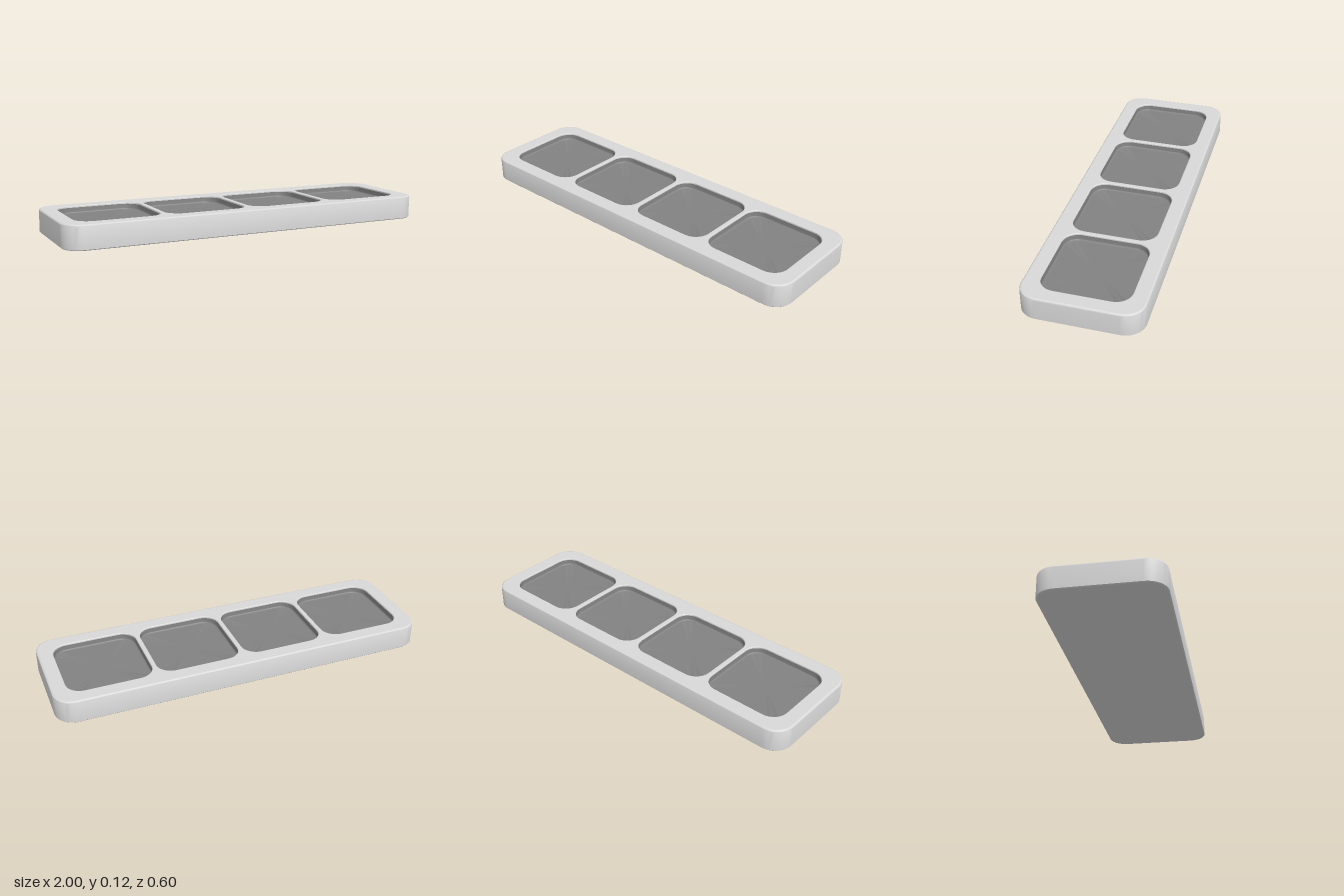
import * as THREE from 'three';
import { toCreasedNormals } from 'three/addons/utils/BufferGeometryUtils.js';

const SEG = 10; // steps per rounded corner

// Rounded rectangle outline, counter-clockwise seen from above
function outline(hw, hd, r, cx = 0) {
  const pts = [];
  for (let k = 0; k < 4; k++) {
    const sx = k === 0 || k === 3 ? 1 : -1;
    const sy = k < 2 ? 1 : -1;
    for (let i = 0; i <= SEG; i++) {
      const a = (k + i / SEG) * Math.PI / 2;
      pts.push(new THREE.Vector2(cx + sx * (hw - r) + r * Math.cos(a), sy * (hd - r) + r * Math.sin(a)));
    }
  }
  return pts;
}

// Skin a list of rounded-rectangle rings [halfWidth, halfDepth, cornerRadius, y]
function loft(rings) {
  const n = 4 * (SEG + 1), pos = [], index = [];
  for (const [hw, hd, r, y] of rings) {
    for (const p of outline(hw, hd, r)) pos.push(p.x, y, -p.y);
  }
  for (let i = 0; i < rings.length - 1; i++) {
    for (let j = 0; j < n; j++) {
      const a = i * n + j, b = i * n + (j + 1) % n;
      index.push(a, b, b + n, a, b + n, a + n);
    }
  }
  const g = new THREE.BufferGeometry();
  g.setAttribute('position', new THREE.Float32BufferAttribute(pos, 3));
  g.setIndex(index);
  return toCreasedNormals(g, 0.7);
}

export function createModel() {
  const group = new THREE.Group();
  const shell = new THREE.MeshStandardMaterial({ color: 0xd8d8d8 });
  shell.name = 'light grey';
  const lining = new THREE.MeshStandardMaterial({ color: 0x828282 });
  lining.name = 'dark grey';

  const add = (name, geometry, material, x = 0) => {
    const mesh = new THREE.Mesh(geometry, material);
    mesh.name = name;
    mesh.position.x = x;
    group.add(mesh);
  };

  const H = 0.123, W = 1, D = 0.301, R = 0.1; // tray height, half sizes, corner radius
  const well = 0.225, wellR = 0.085, pitch = 0.467;
  const centres = [-1.5, -0.5, 0.5, 1.5].map((k) => k * pitch);
  const inset = (hw, hd, r, d, y) => [hw - d, hd - d, r - d, y];

  // Outer body: base, sides and softened top edge
  const body = [[0, 0, 0, 0], inset(W, D, R, 0.006, 0), inset(W, D, R, 0.004, 0), inset(W, D, R, 0, 0.004)];
  const B = 0.01;
  for (let i = 0; i <= 4; i++) {
    const a = i / 4 * Math.PI / 2;
    body.push(inset(W, D, R, B * (1 - Math.cos(a)), H - B + B * Math.sin(a)));
  }
  add('trayBody', loft(body), shell);

  // Flat top with four openings
  const top = new THREE.Shape(outline(W - B, D - B, R - B));
  for (const x of centres) top.holes.push(new THREE.Path(outline(well, well, wellR, x)));
  add('trayRim', new THREE.ShapeGeometry(top).rotateX(-Math.PI / 2).translate(0, H, 0), shell);

  // Wells: light rounded lip, then dark walls curving into a flat floor
  const L = 0.004, lipY = H - 0.009;
  const lip = [0, 1, 2, 3].map((i) => {
    const a = i / 3 * Math.PI / 2;
    return inset(well, well, wellR, L * Math.sin(a), H - L * (1 - Math.cos(a)));
  });
  lip.push(inset(well, well, wellR, L, lipY));
  const F = 0.008, floorY = H - 0.038;
  const pocket = [inset(well, well, wellR, L, lipY)];
  for (let i = 0; i <= 4; i++) {
    const a = i / 4 * Math.PI / 2;
    pocket.push(inset(well, well, wellR, 0.006 + F * (1 - Math.cos(a)), floorY + F * (1 - Math.sin(a))));
  }
  pocket.push(inset(well, well, wellR, 0.016, floorY), [0, 0, 0, floorY]);
  const lipGeometry = loft(lip), pocketGeometry = loft(pocket);
  centres.forEach((x, i) => {
    add(`wellLip${i + 1}`, lipGeometry, shell, x);
    add(`wellPocket${i + 1}`, pocketGeometry, lining, x);
  });

  return group;
}
